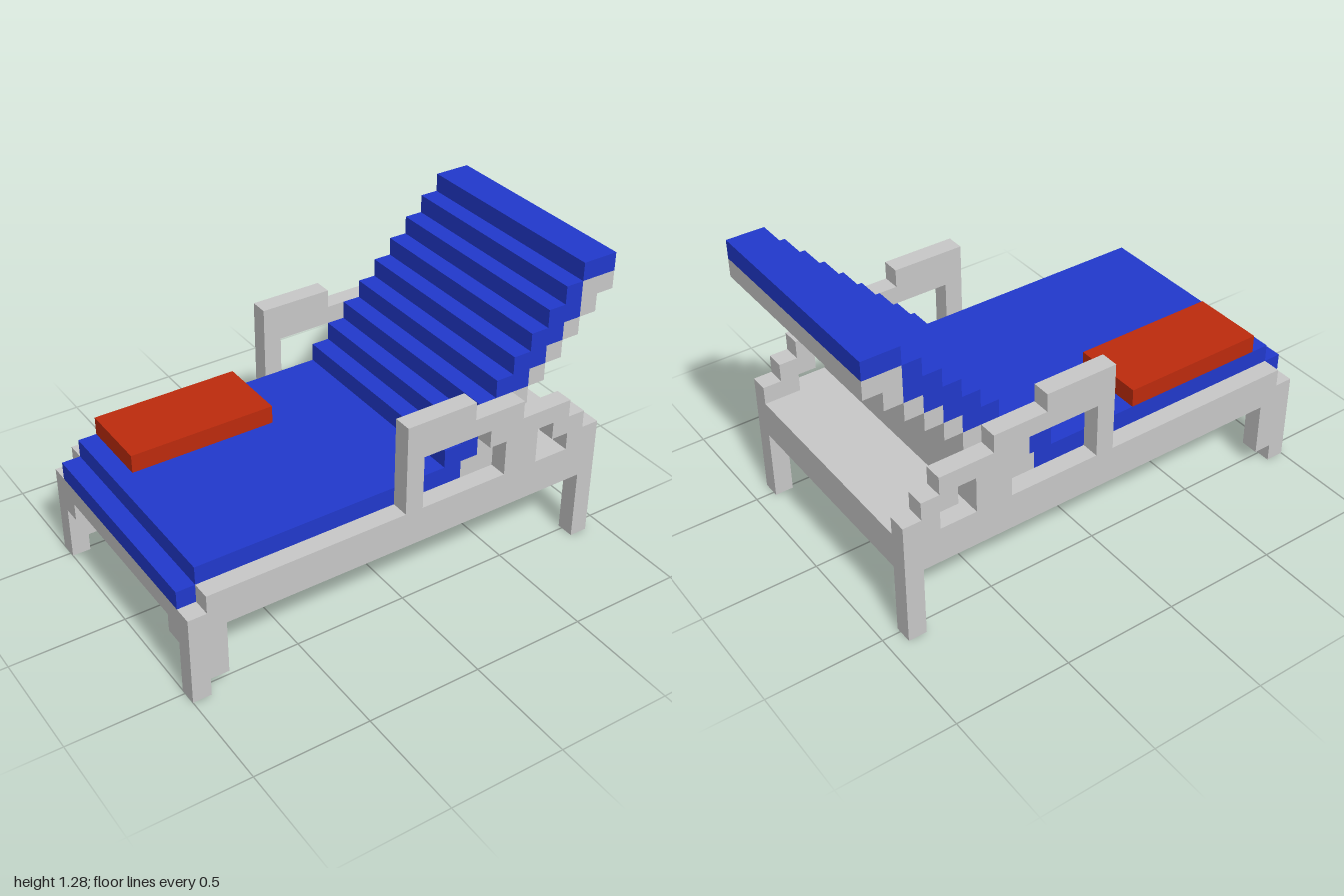
import * as THREE from 'three';

const U = 0.08; // size of one block

export function createModel() {
  const bed = new THREE.Group();
  bed.name = 'recliningBed';

  const mat = (name, color) => {
    const m = new THREE.MeshStandardMaterial({ color });
    m.name = name;
    return m;
  };
  const grey = mat('frameGrey', 0xc8c8c8);
  const blue = mat('mattressBlue', 0x2139cc);
  const red = mat('pillowRed', 0xbd2b0d);

  const add = (name, geometry, material) => {
    const mesh = new THREE.Mesh(geometry, material);
    mesh.name = name;
    bed.add(mesh);
    return mesh;
  };

  // Block coordinates: column 0 is the foot end, row 0 the floor, z runs from -7 to 7
  const points = (list) => list.map(([i, j]) => new THREE.Vector2(i * U - 1, j * U));

  const slab = (name, outline, z0, z1, material, holes = []) => {
    const shape = new THREE.Shape(points(outline));
    for (const h of holes) shape.holes.push(new THREE.Path(points(h)));
    const g = new THREE.ExtrudeGeometry(shape, { depth: (z1 - z0) * U, bevelEnabled: false });
    g.translate(0, 0, z0 * U);
    return add(name, g, material);
  };

  const block = (name, i0, i1, j0, j1, z0, z1, material) => {
    const g = new THREE.BoxGeometry((i1 - i0) * U, (j1 - j0) * U, (z1 - z0) * U);
    g.translate((i0 + i1) * U / 2 - 1, (j0 + j1) * U / 2, (z0 + z1) * U / 2);
    return add(name, g, material);
  };

  // Side frames: legs, rail and armrest with two stepped openings
  const sideOutline = [
    [0, 0], [1, 0], [1, 1], [2, 1], [2, 4], [23, 4], [23, 0], [24, 0],
    [24, 7], [23, 7], [23, 8], [22, 8], [22, 9], [19, 9], [19, 10], [16, 10],
    [16, 11], [12, 11], [12, 6], [1, 6], [1, 5], [0, 5],
  ];
  const armHole = [[13, 6], [18, 6], [18, 8], [17, 8], [17, 9], [13, 9]];
  const rearHole = [[20, 6], [22, 6], [22, 7], [21, 7], [21, 8], [20, 8]];
  slab('leftSideFrame', sideOutline, 6, 7, grey, [armHole, rearHole]);
  slab('rightSideFrame', sideOutline, -7, -6, grey, [armHole, rearHole]);

  // Deck, lower by one block at the foot end, and the foot leg brackets
  slab('deck', [[0, 4], [24, 4], [24, 6], [1, 6], [1, 5], [0, 5]], -6, 6, grey);
  block('leftFootBracket', 0, 1, 3, 4, 5, 6, grey);
  block('rightFootBracket', 0, 1, 3, 4, -6, -5, grey);

  // Solid support under the backrest, then its stepped underside
  slab('backrestSupport', [
    [16, 6], [20, 6], [20, 10], [19, 10], [19, 9], [18, 9], [18, 8], [17, 8], [17, 7], [16, 7],
  ], -6, 6, grey);
  for (let k = 3; k <= 6; k++) {
    block('backrestUnderStep', 17 + k, 18 + k, 7 + k, 8 + k, -6, 6, grey);
  }
  block('headUnderStep', 23, 25, 14, 15, -6, 6, grey);

  // Mattress: flat part rising into the stepped backrest
  const mattress = [[1, 6], [16, 6], [16, 7]];
  for (let k = 0; k <= 6; k++) mattress.push([17 + k, 7 + k], [17 + k, 8 + k]);
  mattress.push([23, 15]);
  for (let k = 7; k >= 0; k--) mattress.push([15 + k, 8 + k], [15 + k, 7 + k]);
  mattress.push([1, 7]);
  slab('mattress', mattress, -6, 6, blue);
  block('mattressFoot', 0, 1, 5, 6, -6, 6, blue);
  block('headrest', 23, 25, 15, 16, -6, 6, blue);

  // Pillow lying on the right half
  block('pillow', 2, 10, 7, 8, -6, -2, red);

  return bed;
}
